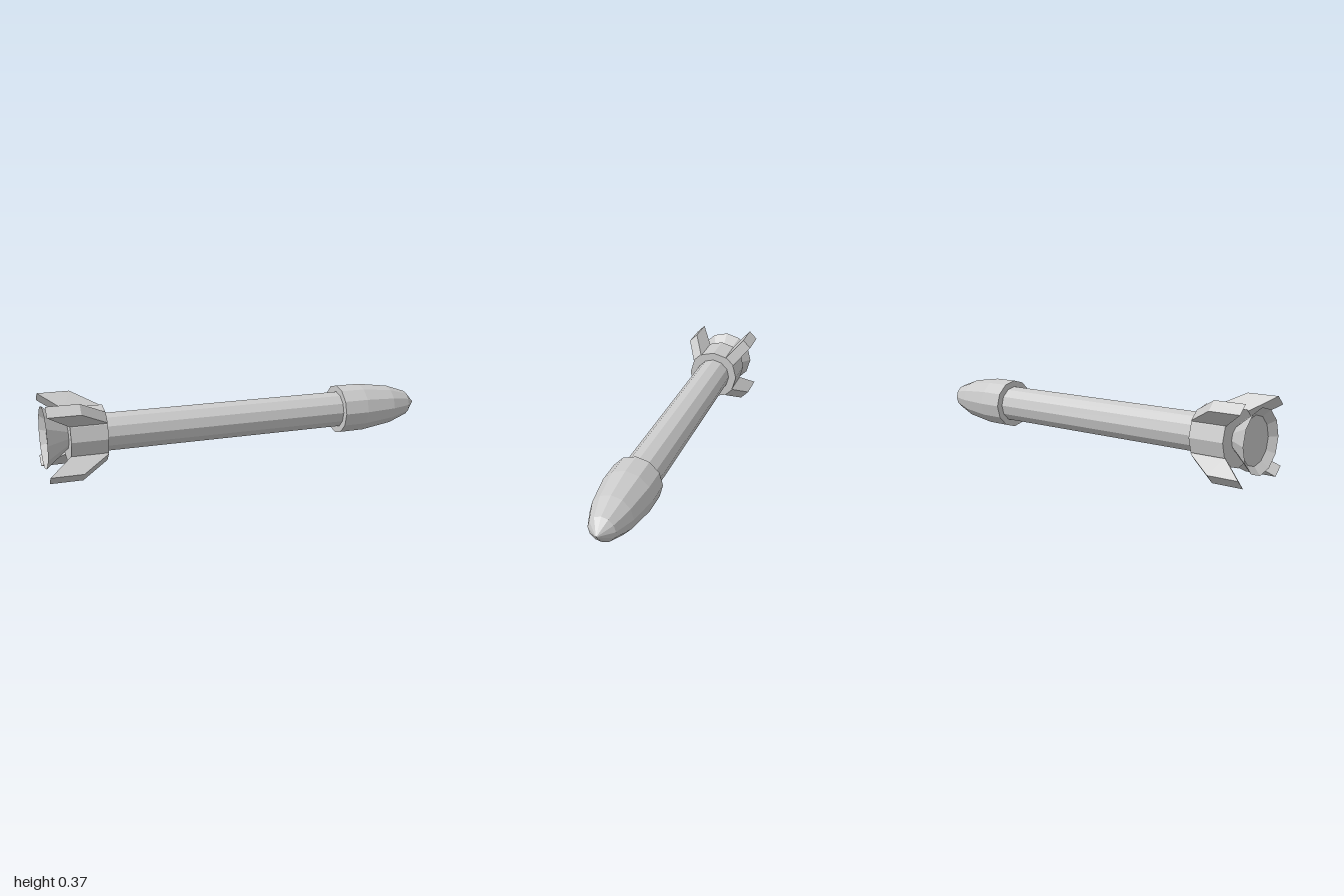
import * as THREE from 'three';

const material = new THREE.MeshStandardMaterial({ color: 0xcccccc, flatShading: true });
const SIDES = 12;

// Twelve-sided solid around the x axis; profile is [x, radius] from tail to nose
function turned(name, profile) {
  const points = profile.map(([x, r]) => new THREE.Vector2(r, x));
  const geometry = new THREE.LatheGeometry(points, SIDES).rotateZ(-Math.PI / 2);
  const mesh = new THREE.Mesh(geometry, material);
  mesh.name = name;
  return mesh;
}

export function createModel() {
  const rocket = new THREE.Group();
  rocket.name = 'rocket';
  const axis = new THREE.Group();
  axis.name = 'airframe';
  axis.position.y = 0.183;
  rocket.add(axis);

  axis.add(turned('body', [[-0.75, 0], [-0.75, 0.094], [0.55, 0.094], [0.55, 0]]));
  axis.add(turned('noseCone', [
    [0.53, 0], [0.53, 0.127], [0.66, 0.126], [0.83, 0.102], [0.94, 0.064], [1, 0],
  ]));
  axis.add(turned('tailCollar', [[-0.89, 0], [-0.89, 0.136], [-0.715, 0.136], [-0.715, 0]]));

  // Flared nozzle with a recessed end
  axis.add(turned('nozzle', [[-0.97, 0], [-0.97, 0.115], [-1, 0.152], [-0.88, 0.055], [-0.88, 0]]));

  // Four swept fins, set diagonally
  const outline = new THREE.Shape([
    [-0.89, 0.1], [-0.715, 0.1], [-0.715, 0.137], [-0.845, 0.229], [-1, 0.229], [-0.89, 0.129],
  ].map(([x, r]) => new THREE.Vector2(x, r)));
  const thickness = 0.06;
  const finGeometry = new THREE.ExtrudeGeometry(outline, { depth: thickness, bevelEnabled: false })
    .translate(0, 0, -thickness / 2);
  for (let i = 0; i < 4; i++) {
    const fin = new THREE.Mesh(finGeometry, material);
    fin.name = 'fin' + (i + 1);
    fin.rotation.x = Math.PI / 4 + i * Math.PI / 2;
    axis.add(fin);
  }
  return rocket;
}
